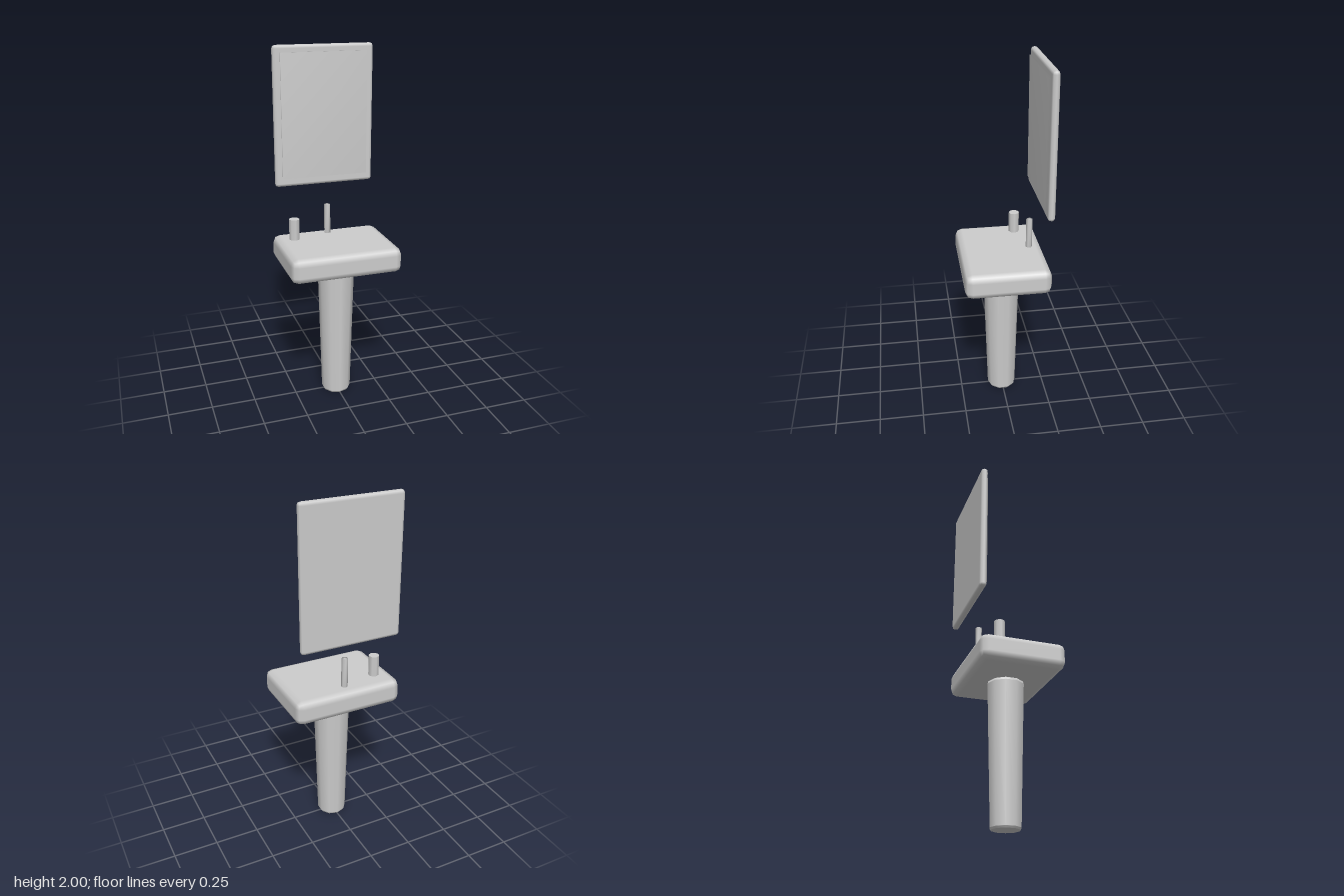
import * as THREE from 'three';
import { mergeVertices } from 'three/addons/utils/BufferGeometryUtils.js';
import { RoundedBoxGeometry } from 'three/addons/geometries/RoundedBoxGeometry.js';

// Weld a geometry so its normals blend across the edges
function soften(geometry) {
  geometry.deleteAttribute('uv');
  geometry.deleteAttribute('normal');
  const welded = mergeVertices(geometry, 1e-4);
  welded.computeVertexNormals();
  return welded;
}

export function createModel() {
  const model = new THREE.Group();
  model.name = 'washbasinWithMirror';
  const ceramic = new THREE.MeshStandardMaterial({ color: 0xcccccc });
  ceramic.name = 'light grey';

  const add = (name, geometry, x, y, z) => {
    const mesh = new THREE.Mesh(geometry, ceramic);
    mesh.name = name;
    mesh.position.set(x, y, z);
    model.add(mesh);
  };

  // Tapered ten-sided pedestal with small bevels at both ends
  const profile = [
    [0, 0], [0.077, 0], [0.0775, 0.0005], [0.0835, 0.01], [0.084, 0.0115],
    [0.104, 0.78], [0.1035, 0.782], [0.099, 0.797], [0, 0.797],
  ].map(([r, y]) => new THREE.Vector2(r, y));
  add('pedestal', new THREE.LatheGeometry(profile, 10), 0, 0, 0.002);

  // Basin slab with bevelled, smoothly shaded edges
  add('basin', new RoundedBoxGeometry(0.63, 0.142, 0.472, 1, 0.04), 0, 0.865, 0.002);

  // Tap and soap dispenser standing on the basin
  add('tap', soften(new THREE.CylinderGeometry(0.018, 0.018, 0.175, 6)), 0, 1.0205, -0.157);
  add('soapDispenser', new THREE.CylinderGeometry(0.03, 0.03, 0.125, 8), -0.212, 0.9935, -0.105);

  // Mirror: rounded backing frame and the slightly raised glass
  add('mirrorFrame', new RoundedBoxGeometry(0.576, 0.782, 0.04, 1, 0.018), 0, 1.609, -0.22);
  add('mirrorGlass', soften(new THREE.BoxGeometry(0.496, 0.694, 0.015)), 0, 1.614, -0.1975);

  return model;
}
